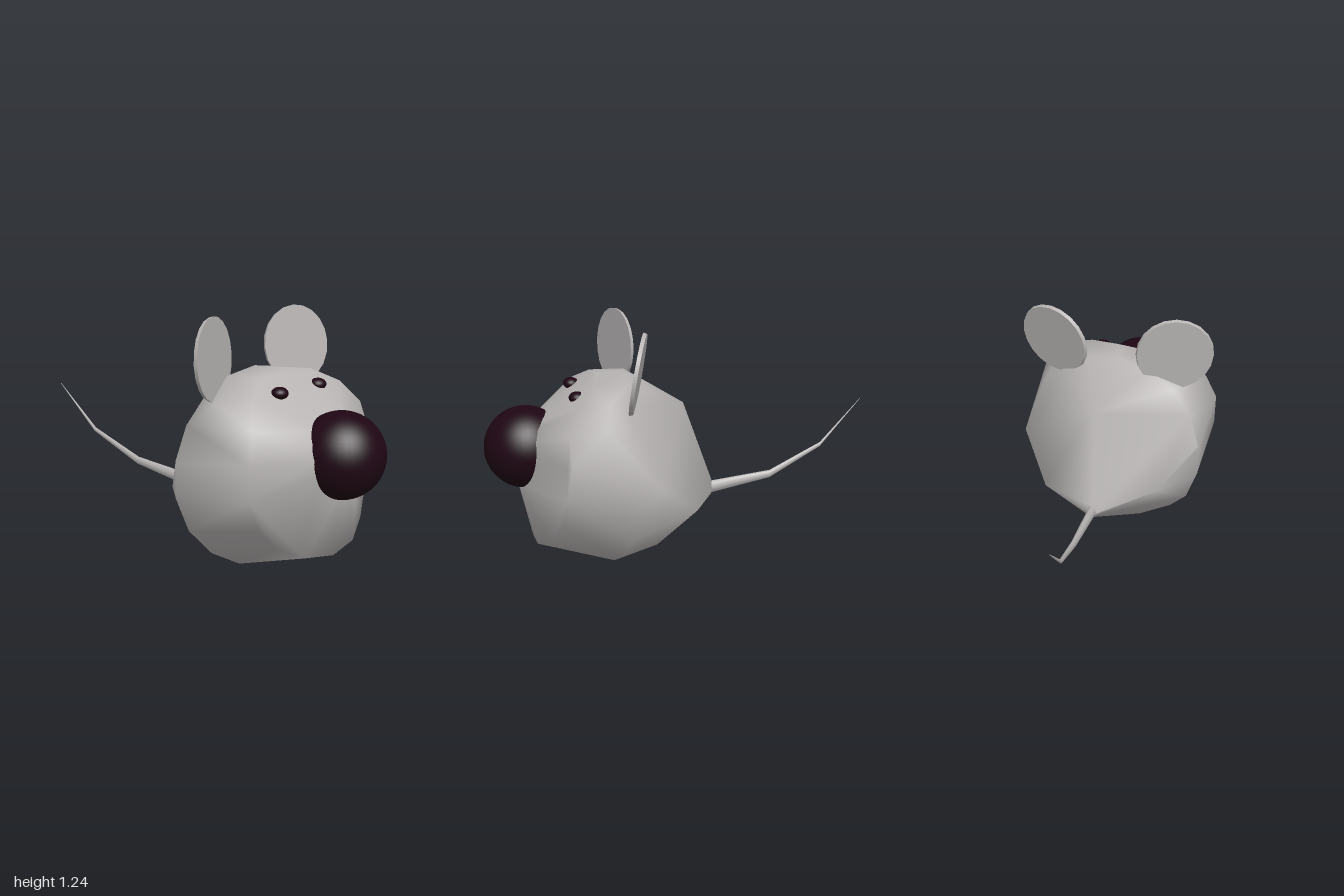
import * as THREE from 'three';
import { mergeVertices } from 'three/addons/utils/BufferGeometryUtils.js';
import { ConvexGeometry } from 'three/addons/geometries/ConvexGeometry.js';

const fur = new THREE.MeshStandardMaterial({ color: 0xb7b4b3 });
const dark = new THREE.MeshStandardMaterial({ color: 0x1e0613 });

// Tilted oval ring: left [x, z], right [x, z], top [y, z], bottom [y, z].
function ovalRing(left, right, top, bottom, sides = 18) {
  const mix = (a, b, k) => (a + b) / 2 + ((a - b) / 2) * k;
  const bulge = (v) => Math.sign(v) * Math.pow(Math.abs(v), 0.93);
  return Array.from({ length: sides }, (_, i) => {
    const t = (i / sides) * Math.PI * 2 + Math.PI / 2;
    const c = Math.cos(t), s = Math.sin(t);
    return [
      mix(left[0], right[0], bulge(c)),
      mix(top[0], bottom[0], bulge(s)),
      c * c * mix(left[1], right[1], c) + s * s * mix(top[1], bottom[1], s),
    ];
  });
}

// Rounded skin stretched over the corner points, smooth shaded.
function bodyGeometry() {
  const points = [
    // back corners: tail root, ridge, sides and underside
    [-0.1, 0.31, -0.16], [-0.06, 0.31, -0.16], [-0.08, 0.35, -0.16], [-0.08, 0.28, -0.16],
    [-0.02, 0.8, 0], [0.45, 0.5, 0.15], [0.24, 0.31, -0.04], [-0.35, 0.38, 0.06],
    [-0.02, 0.05, 0.18], [0.22, 0.13, 0.16], [-0.22, 0.12, 0.17],
    // shoulder and cheek corners
    [0.34, 0.905, 0.38], [0.44, 0.79, 0.4], [0.49, 0.64, 0.57], [0.49, 0.48, 0.6],
    [-0.38, 0.85, 0.4], [-0.5, 0.57, 0.26], [-0.5, 0.41, 0.26],
    // widest ring, cheek ring and muzzle ring
    ...ovalRing([0.46, 0.28], [-0.5, 0.25], [0.97, 0.29], [0.0, 0.39]),
    ...ovalRing([0.49, 0.59], [-0.455, 0.69], [0.975, 0.43], [0.13, 0.78]),
    ...ovalRing([0.23, 0.74], [-0.15, 0.82], [0.77, 0.72], [0.42, 0.84]),
  ];
  const hull = new ConvexGeometry(points.map((p) => new THREE.Vector3(...p)));
  hull.deleteAttribute('normal');
  const geo = mergeVertices(hull, 1e-4);
  geo.computeVertexNormals();
  return geo;
}

// Tapering tail through rings of x, y, z, radius, listed from tip to root.
function tailGeometry(rings, sides) {
  const pos = [], index = [];
  rings.forEach(([x, y, z, r], i) => {
    for (let j = 0; j < sides; j++) {
      const t = (j / sides) * Math.PI * 2;
      pos.push(x + 0.65 * r * Math.cos(t), y + r * Math.sin(t), z);
      if (i === rings.length - 1) continue;
      const a = i * sides + j, b = i * sides + ((j + 1) % sides);
      index.push(a, b, b + sides, a, b + sides, a + sides);
    }
  });
  const geo = new THREE.BufferGeometry();
  geo.setAttribute('position', new THREE.Float32BufferAttribute(pos, 3));
  geo.setIndex(index);
  geo.computeVertexNormals();
  return geo;
}

export function createModel() {
  const group = new THREE.Group();
  const add = (name, geo, mat, p = [0, 0, 0]) => {
    const mesh = new THREE.Mesh(geo, mat);
    mesh.name = name;
    mesh.position.set(...p);
    group.add(mesh);
    return mesh;
  };

  add('body', bodyGeometry(), fur);
  add('tail', tailGeometry([
    [-0.26, 0.725, -1.0, 0.002],
    [-0.2, 0.49, -0.77, 0.012],
    [-0.13, 0.357, -0.48, 0.021],
    [-0.08, 0.315, -0.15, 0.034],
    [-0.06, 0.33, -0.05, 0.03],
  ], 8), fur);

  // Nose and eyes
  add('nose', new THREE.SphereGeometry(0.205, 40, 28), dark, [0.037, 0.615, 0.795]);
  for (const [name, x, z] of [['rightEye', -0.13, 0.56], ['leftEye', 0.16, 0.535]]) {
    add(name, new THREE.SphereGeometry(1, 24, 16), dark, [x, 0.89, z]).scale.set(0.042, 0.029, 0.04);
  }

  // Ears: thin discs turned outward
  const earGeo = new THREE.CylinderGeometry(0.197, 0.192, 0.018, 20);
  earGeo.rotateX(Math.PI / 2);
  add('rightEar', earGeo, fur, [-0.322, 1.038, 0.322]).rotation.set(-0.06, 0.41, 0, 'YXZ');
  add('leftEar', earGeo, fur, [0.312, 1.032, 0.25]).rotation.set(-0.17, -0.17, 0, 'YXZ');

  return group;
}
